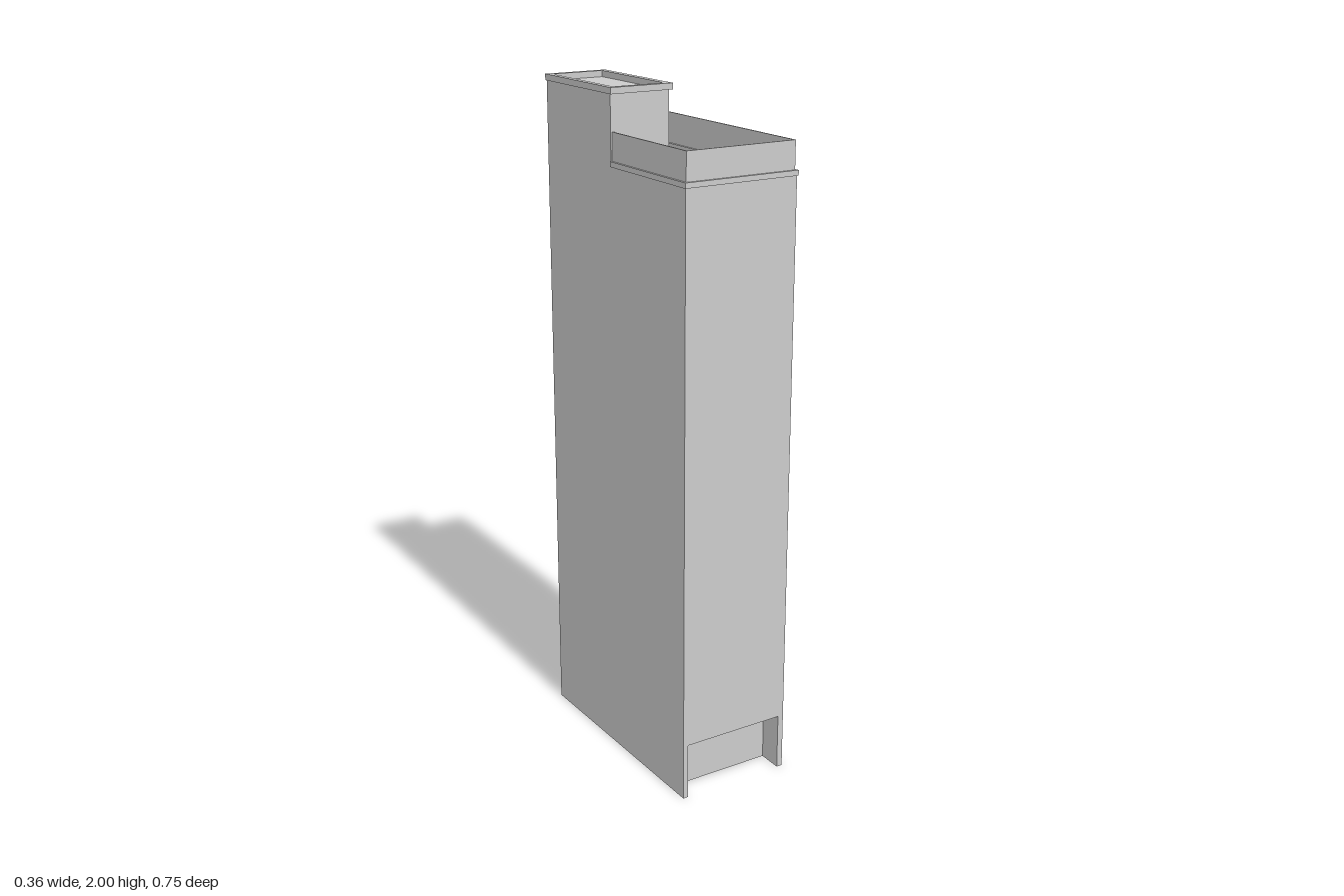
import * as THREE from 'three';

// main half-extents and heights
const BX = 0.176, BZ = 0.37;            // wall faces
const TX = 0.011, TZ = -0.008;          // inner corner of the rooftop tower
const LOBBY = 0.17, ROOF = 1.775, KERB = 1.79;

const material = new THREE.MeshStandardMaterial({ color: 0xcccccc });

export function createModel() {
  const group = new THREE.Group();

  const add = (name, geometry) => {
    const mesh = new THREE.Mesh(geometry, material);
    mesh.name = name;
    group.add(mesh);
  };

  // box given by its limits
  const box = (name, x0, x1, y0, y1, z0, z1) => {
    const g = new THREE.BoxGeometry(x1 - x0, y1 - y0, z1 - z0);
    g.translate((x0 + x1) / 2, (y0 + y1) / 2, (z0 + z1) / 2);
    add(name, g);
  };

  // plan outline of [x, z] points raised from y0 to y1, with an optional hole
  const toPoints = (list) => list.map(([x, z]) => new THREE.Vector2(x, z));
  const raise = (name, outline, y0, y1, hole) => {
    const shape = new THREE.Shape(toPoints(outline));
    if (hole) shape.holes.push(new THREE.Path(toPoints(hole)));
    const g = new THREE.ExtrudeGeometry(shape, { depth: y1 - y0, bevelEnabled: false });
    g.rotateX(Math.PI / 2);
    g.translate(0, y1, 0);
    add(name, g);
  };

  const rect = (x0, x1, z0, z1) => [[x0, z0], [x1, z0], [x1, z1], [x0, z1]];

  // line round the roof from the tower's back edge to its side edge
  const roofLine = (x, z) => [[TX, -z], [x, -z], [x, z], [-x, z], [-x, TZ]];
  const strip = (xo, zo, xi, zi) => [...roofLine(xo, zo), ...roofLine(xi, zi).reverse()];

  // main block
  box('mainBlock', -BX, BX, LOBBY, ROOF, -BZ, BZ);

  // ground floor: thin walls on three sides, open below and at the front
  raise('groundFloorWalls', [
    [-BX, BZ], [-BX, -BZ], [BX, -BZ], [BX, BZ],
    [0.158, BZ], [0.158, -0.355], [-0.16, -0.355], [-0.16, BZ],
  ], 0, LOBBY);
  box('entranceWall', -0.16, 0.158, 0, LOBBY, 0.293, 0.296);

  // low kerb round the sunken L-shaped roof
  raise('roofKerb', [...roofLine(BX, BZ), [TX, TZ]], ROOF, KERB, [
    [0.032, -0.357], [0.161, -0.357], [0.161, 0.354],
    [-0.162, 0.354], [-0.162, 0.013], [0.032, 0.013],
  ]);

  // projecting ledge and thin parapet
  raise('ledge', strip(0.179, 0.373, 0.168, 0.362), 1.785, 1.8);
  raise('parapet', strip(0.172, 0.366, 0.168, 0.362), KERB, 1.88);

  // rooftop tower with an overhanging rim
  box('tower', -BX, TX, ROOF, 1.982, -BZ, TZ);
  raise('towerRim', rect(-0.179, 0.019, -0.373, 0), 1.982, 2,
    rect(-0.162, 0, -0.357, -0.018));

  return group;
}
